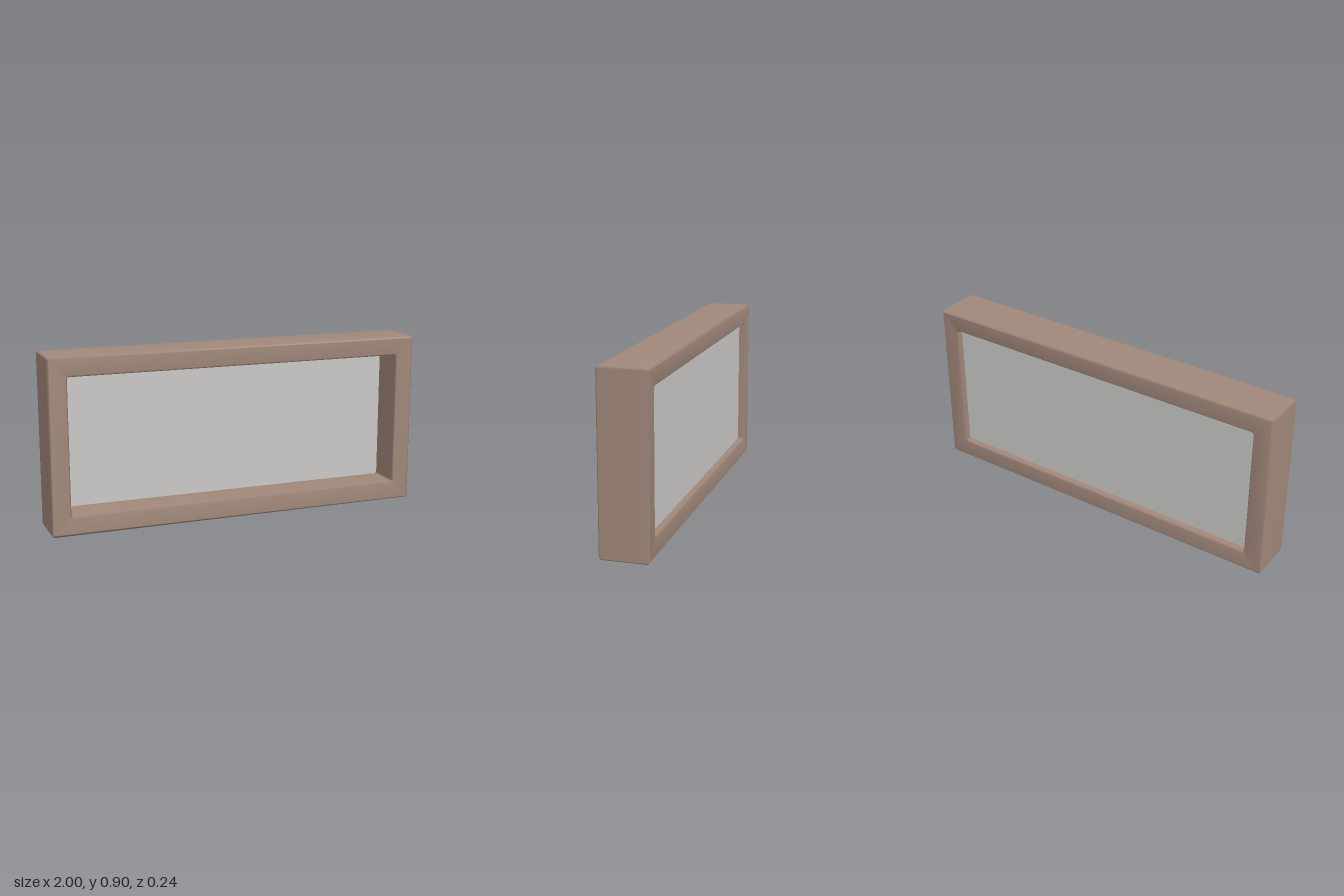
import * as THREE from 'three';
import { mergeVertices } from 'three/addons/utils/BufferGeometryUtils.js';

const W = 2, H = 0.905, D = 0.244, BORDER = 0.1, BEVEL = 0.009;

// Rectangle centred on the origin with small clipped corners
function clippedRect(path, w, h, c) {
  const x = w / 2, y = h / 2;
  path.setFromPoints([
    [-x + c, -y], [x - c, -y], [x, -y + c], [x, y - c],
    [x - c, y], [-x + c, y], [-x, y - c], [-x, -y + c],
  ].map(([a, b]) => new THREE.Vector2(a, b)));
  path.closePath();
  return path;
}

export function createModel() {
  const frameBrown = new THREE.MeshStandardMaterial({ color: 0xa1887a });
  frameBrown.name = 'frameBrown';
  const panelGrey = new THREE.MeshStandardMaterial({ color: 0xcac9c7 });
  panelGrey.name = 'panelGrey';

  const model = new THREE.Group();
  model.name = 'framedPanel';

  const innerW = W - 2 * BORDER, innerH = H - 2 * BORDER;

  // Deep frame with soft bevelled edges
  const shape = clippedRect(new THREE.Shape(), W, H, BEVEL);
  shape.holes.push(clippedRect(new THREE.Path(), innerW, innerH, BEVEL));
  let geometry = new THREE.ExtrudeGeometry(shape, {
    depth: D - 2 * BEVEL,
    bevelEnabled: true,
    bevelThickness: BEVEL,
    bevelSize: BEVEL,
    bevelOffset: -BEVEL,
    bevelSegments: 1,
  });
  geometry.translate(0, 0, -D / 2 + BEVEL);

  // Share vertices so the shading rolls over the bevels
  geometry.deleteAttribute('normal');
  geometry.deleteAttribute('uv');
  geometry = mergeVertices(geometry, 1e-5);
  geometry.computeVertexNormals();

  const frame = new THREE.Mesh(geometry, frameBrown);
  frame.name = 'frame';
  frame.position.y = H / 2;
  model.add(frame);

  // Flat panel set deep in the frame, close to the back
  const panel = new THREE.Mesh(
    new THREE.BoxGeometry(innerW + 0.02, innerH + 0.02, 0.026), panelGrey);
  panel.name = 'panel';
  panel.position.set(0, H / 2, -0.073);
  model.add(panel);

  return model;
}
